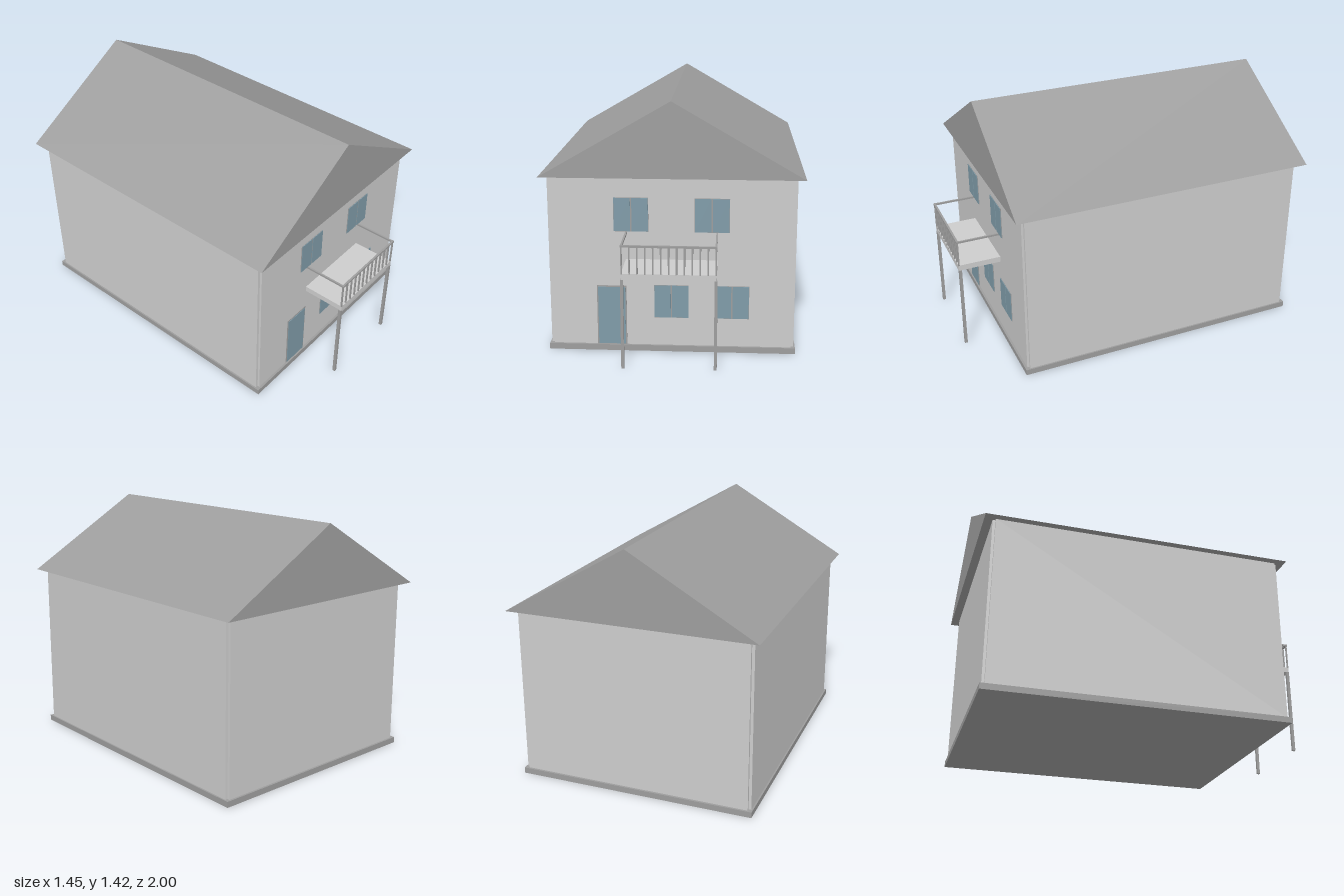
import * as THREE from 'three';

export function createModel() {
  const house = new THREE.Group();
  house.name = 'house';
  const mat = (name, color) => {
    const m = new THREE.MeshStandardMaterial({ color });
    m.name = name;
    return m;
  };
  const wall = mat('light grey wall', 0xcccccc);
  const trim = mat('mid grey trim', 0x9d9d9d);
  const glass = mat('blue grey glass', 0x7f9ba8);

  // Box given by its lower and upper limits on each axis
  const box = (name, material, x0, x1, y0, y1, z0, z1, parent = house) => {
    const mesh = new THREE.Mesh(new THREE.BoxGeometry(x1 - x0, y1 - y0, z1 - z0), material);
    mesh.position.set((x0 + x1) / 2, (y0 + y1) / 2, (z0 + z1) / 2);
    mesh.name = name;
    parent.add(mesh);
    return mesh;
  };

  // Plinth
  box('plinth', trim, -0.692, 0.692, 0, 0.034, -0.965, 0.76);

  // Walls with notched corners
  const W = 0.683, w = 0.667, B = -0.953, b = -0.938, F = 0.747, f = 0.734;
  const plan = new THREE.Shape([
    [-w, F], [-w, f], [-W, f], [-W, b], [-w, b], [-w, B],
    [w, B], [w, b], [W, b], [W, f], [w, f], [w, F],
  ].map(([x, z]) => new THREE.Vector2(x, -z)));
  const wallGeo = new THREE.ExtrudeGeometry(plan, { depth: 0.976, bevelEnabled: false });
  wallGeo.rotateX(-Math.PI / 2).translate(0, 0.032, 0);
  const walls = new THREE.Mesh(wallGeo, wall);
  walls.name = 'walls';
  house.add(walls);

  // Gabled roof
  const gable = new THREE.Shape([
    new THREE.Vector2(-0.725, 1.006), new THREE.Vector2(0.725, 1.006), new THREE.Vector2(0, 1.425),
  ]);
  const roofGeo = new THREE.ExtrudeGeometry(gable, { depth: 1.79, bevelEnabled: false });
  roofGeo.translate(0, 0, -1);
  const roof = new THREE.Mesh(roofGeo, trim);
  roof.name = 'roof';
  house.add(roof);

  // Windows: two panes over a slim frame
  const addWindow = (cx, y0) => {
    const g = new THREE.Group();
    g.name = 'window';
    house.add(g);
    box('windowFrame', trim, cx - 0.096, cx + 0.096, y0 - 0.001, y0 + 0.191, F - 0.005, F + 0.003, g);
    for (const s of [-1, 1]) {
      const px = cx + s * 0.049;
      box('windowPane', glass, px - 0.045, px + 0.045, y0 + 0.001, y0 + 0.189, F, F + 0.006, g);
    }
  };
  for (const [x, y] of [[-0.223, 0.7], [0.222, 0.7], [-0.001, 0.2], [0.335, 0.2]]) addWindow(x, y);

  // Front door
  box('doorFrame', trim, -0.418, -0.252, 0.034, 0.383, F - 0.005, F + 0.003);
  box('doorPane', glass, -0.411, -0.259, 0.038, 0.375, F, F + 0.006);

  // Balcony floor, posts and railing
  const balcony = new THREE.Group();
  balcony.name = 'balcony';
  house.add(balcony);
  box('balconyFloor', wall, -0.253, 0.253, 0.507, 0.54, 0.74, 0.998, balcony);
  for (const s of [-1, 1]) {
    const x = s * 0.25;
    box('balconyPost', trim, x - 0.008, x + 0.008, 0, 0.507, 0.98, 0.997, balcony);
    box('sideRail', trim, x - 0.005, x + 0.005, 0.686, 0.697, 0.74, 0.99, balcony);
  }
  box('frontRail', trim, -0.256, 0.256, 0.686, 0.697, 0.988, 1, balcony);
  const count = 13;
  for (let i = 0; i < count; i++) {
    const x = -0.25 + (0.5 * i) / (count - 1);
    box('baluster', trim, x - 0.004, x + 0.004, 0.538, 0.688, 0.99, 0.998, balcony);
  }

  return house;
}
